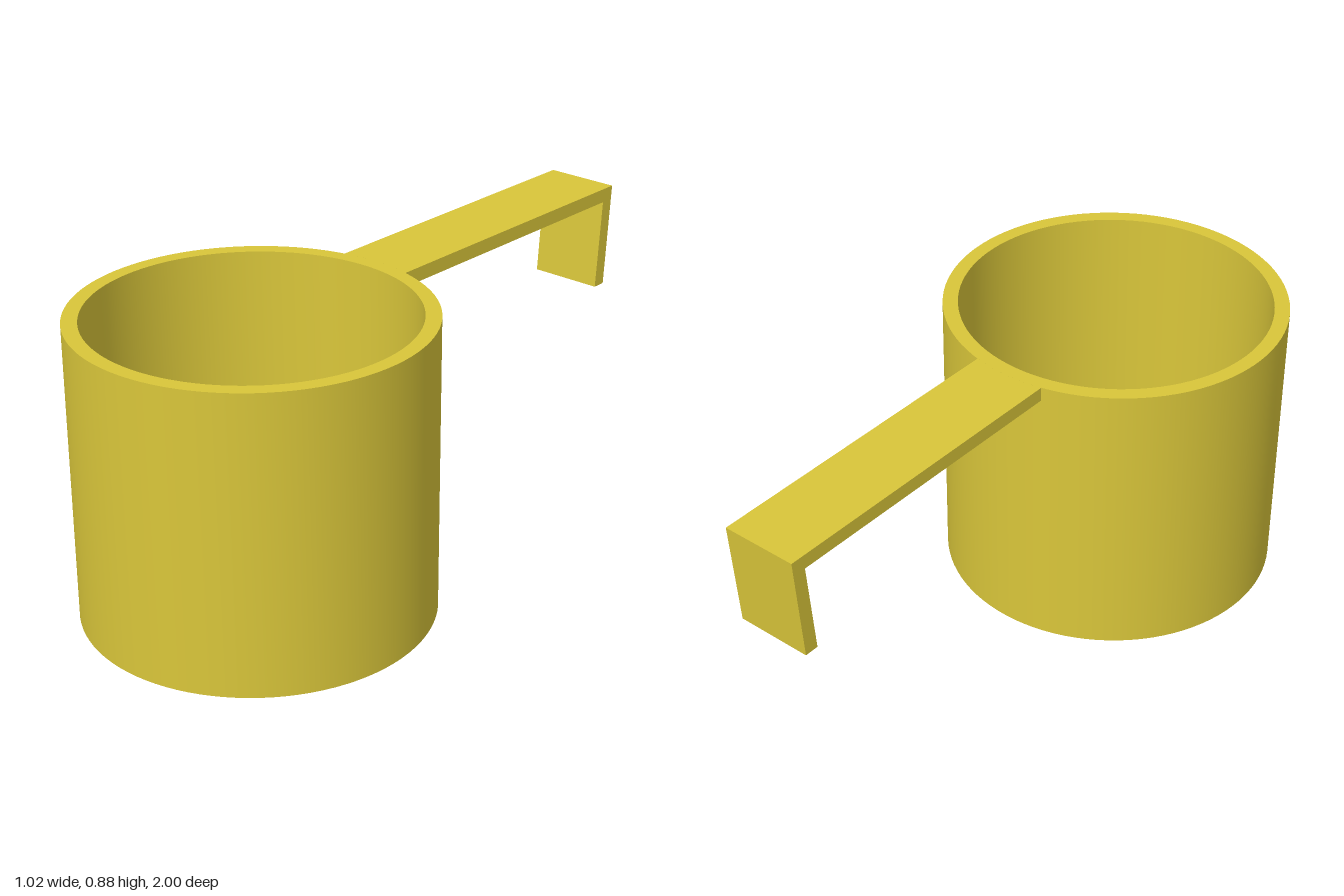
import * as THREE from 'three';
import { toCreasedNormals } from 'three/addons/utils/BufferGeometryUtils.js';

const HEIGHT = 0.885;
const RADIUS = 0.51;
const WALL = 0.045;
const CUP_Z = 0.49;
const HANDLE_WIDTH = 0.23;

export function createModel() {
  const group = new THREE.Group();
  const material = new THREE.MeshStandardMaterial({ color: 0xd9c63a });

  // Open cup with a thick wall and floor
  const inner = RADIUS - WALL;
  const profile = [
    [0, 0], [RADIUS, 0], [RADIUS, HEIGHT],
    [inner, HEIGHT], [inner, WALL], [0, WALL],
  ].map(([r, y]) => new THREE.Vector2(r, y));
  const cup = new THREE.Mesh(
    toCreasedNormals(new THREE.LatheGeometry(profile, 96), 0.6), material);
  cup.name = 'cup';
  cup.position.z = CUP_Z;
  group.add(cup);

  // Flat handle with a hooked end: side profile (z, y) extruded across x
  const side = new THREE.Shape([
    [0, HEIGHT], [-1, HEIGHT], [-0.975, 0.565], [-0.932, 0.565],
    [-0.955, HEIGHT - 0.043], [0, HEIGHT - 0.043],
  ].map(([z, y]) => new THREE.Vector2(z, y)));
  const geometry = new THREE.ExtrudeGeometry(side, {
    depth: HANDLE_WIDTH, steps: 12, bevelEnabled: false,
  });
  geometry.rotateY(-Math.PI / 2).translate(HANDLE_WIDTH / 2, 0, 0);

  // Curve the inner end so it meets the round wall
  const p = geometry.attributes.position;
  for (let i = 0; i < p.count; i++) {
    if (p.getZ(i) > -0.1) {
      p.setZ(i, CUP_Z - Math.sqrt(RADIUS ** 2 - p.getX(i) ** 2));
    }
  }
  geometry.computeVertexNormals();
  const handle = new THREE.Mesh(geometry, material);
  handle.name = 'hookedHandle';
  group.add(handle);

  return group;
}
